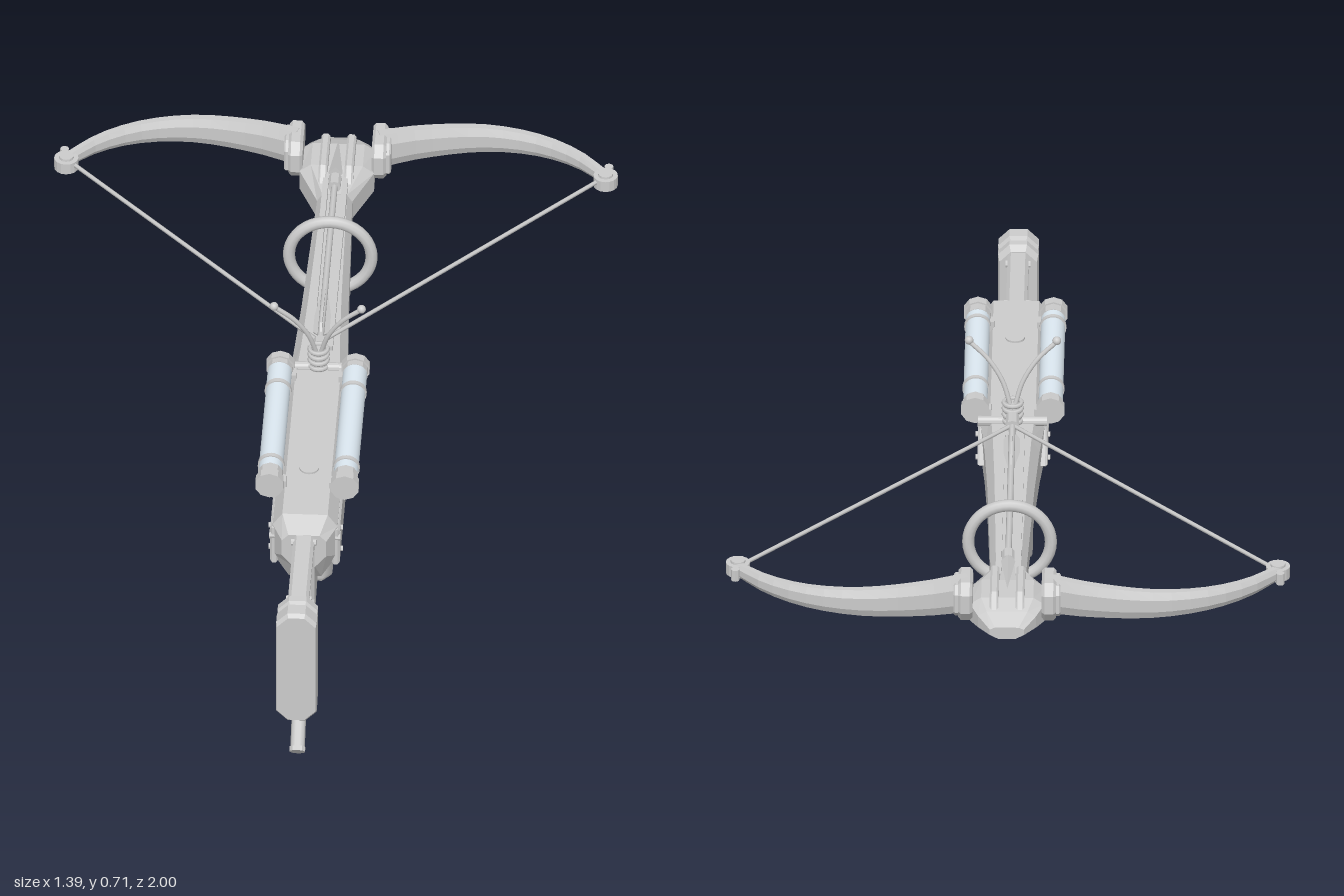
import * as THREE from 'three';
import { toCreasedNormals } from 'three/addons/utils/BufferGeometryUtils.js';

const V = (x, y, z) => new THREE.Vector3(x, y, z);

export function createModel() {
  const root = new THREE.Group();
  const flat = new THREE.MeshStandardMaterial({ color: 0xcccccc, flatShading: true });
  const smooth = new THREE.MeshStandardMaterial({ color: 0xcccccc });
  const thin = new THREE.MeshStandardMaterial({ color: 0xcccccc, side: THREE.DoubleSide });
  const glass = new THREE.MeshStandardMaterial({ color: 0xdde9f2 });

  const add = (name, geo, mat = flat, x = 0, y = 0, z = 0) => {
    const m = new THREE.Mesh(geo, mat);
    m.name = name;
    m.position.set(x, y, z);
    root.add(m);
    return m;
  };

  // Closed skin through matching rings of points, with end caps
  const loft = (rings) => {
    const p = [], n = rings[0].length;
    const tri = (...v) => v.forEach((q) => p.push(q.x, q.y, q.z));
    for (let j = 0; j < rings.length - 1; j++) {
      const a = rings[j], b = rings[j + 1];
      for (let i = 0; i < n; i++) {
        const k = (i + 1) % n;
        tri(a[i], b[i], a[k]);
        tri(a[k], b[i], b[k]);
      }
    }
    const f = rings[0], l = rings[rings.length - 1];
    for (let i = 1; i < n - 1; i++) {
      tri(f[0], f[i], f[i + 1]);
      tri(l[0], l[i + 1], l[i]);
    }
    const g = new THREE.BufferGeometry();
    g.setAttribute('position', new THREE.Float32BufferAttribute(p, 3));
    g.computeVertexNormals();
    return g;
  };

  // Eight-sided section: half width, bottom, top, narrowed floor and roof, corner heights
  const section = (z, w, bot, top, floor = 0.5, roof = 0.7, low = 0.35, high = 0.18) => {
    const h = top - bot, yl = bot + h * low, yh = top - h * high;
    return [[floor, bot], [1, yl], [1, yh], [roof, top], [-roof, top], [-1, yh], [-1, yl], [-floor, bot]]
      .map(([x, y]) => V(x * w, y, z));
  };

  // Side outline given as [z, y], extruded across x with chamfered edges
  const outline = (pts, C = THREE.Shape) => new C(pts.map(([z, y]) => new THREE.Vector2(z, y)));
  const sideCut = (pts, width, bevel = 0.008, hole = null) => {
    const s = outline(pts);
    if (hole) s.holes.push(outline(hole, THREE.Path));
    const depth = width - 2 * bevel;
    const g = new THREE.ExtrudeGeometry(s, {
      depth, bevelEnabled: bevel > 0, bevelSize: bevel, bevelThickness: bevel, bevelOffset: -bevel, bevelSegments: 1,
    });
    return g.translate(0, 0, -depth / 2).rotateY(-Math.PI / 2);
  };

  const tube = (pts, r, seg = 20, sides = 8) =>
    new THREE.TubeGeometry(new THREE.CatmullRomCurve3(pts.map((q) => V(...q))), seg, r, sides);
  const rodZ = (r, len, sides = 16) => new THREE.CylinderGeometry(r, r, len, sides).rotateX(Math.PI / 2);
  const rodX = (r, len, sides = 12) => new THREE.CylinderGeometry(r, r, len, sides).rotateZ(Math.PI / 2);

  // Main body, tapering forward
  add('body', loft([
    section(0.65, 0.055, 0.37, 0.465), section(0.6, 0.08, 0.305, 0.493), section(0.05, 0.08, 0.3, 0.493),
    section(-0.1, 0.068, 0.305, 0.493), section(-0.3, 0.058, 0.33, 0.492), section(-0.78, 0.042, 0.375, 0.488),
  ]));
  add('undersideRail', sideCut([[0.56, 0.3], [-0.1, 0.297], [-0.3, 0.318], [-0.74, 0.36], [-0.74, 0.38], [-0.1, 0.33], [0.56, 0.33]], 0.055));

  // Nose block with a slotted cover
  add('nose', loft([
    section(-0.73, 0.044, 0.38, 0.49), section(-0.83, 0.092, 0.39, 0.505), section(-0.92, 0.092, 0.405, 0.505),
    section(-0.96, 0.072, 0.42, 0.488), section(-1.0, 0.042, 0.433, 0.465),
  ]));

  // Shoulder stock with a window, and the butt
  add('stock', sideCut(
    [[0.91, 0.46], [0.6, 0.465], [0.6, 0.31], [0.26, 0.295], [0.26, 0.283], [0.84, 0.155], [0.91, 0.17]], 0.052, 0.008,
    [[0.85, 0.433], [0.87, 0.415], [0.87, 0.24], [0.845, 0.22], [0.68, 0.252], [0.66, 0.275], [0.66, 0.42], [0.68, 0.437]],
  ));
  const buttRing = ([z, d]) => {
    const w = 0.05 - d * 0.25, b = 0.15 + d, t = 0.477 - d, c = 0.028;
    return [[w - c, b], [w, b + c], [w, t - c], [w - c, t], [c - w, t], [-w, t - c], [-w, b + c], [c - w, b]].map(([x, y]) => V(x, y, z));
  };
  add('butt', loft([[1, 0.008], [0.99, 0], [0.955, 0], [0.95, 0.01], [0.94, 0.01], [0.935, 0.002], [0.915, 0.002], [0.9, 0.015]].map(buttRing)));

  // Bent hose below the butt, with its coil
  add('stockHose', tube([[0, 0.2, 0.82], [0, 0.14, 0.82], [0, 0.105, 0.85], [0, 0.06, 0.9], [0, 0.022, 0.945]], 0.018, 20, 10), smooth);
  const hoseEnd = add('hoseEnd', new THREE.CylinderGeometry(0.02, 0.02, 0.012, 10), flat, 0, 0.025, 0.942);
  hoseEnd.rotation.x = -0.85;
  for (let i = 0; i < 4; i++) {
    const c = add('hoseCoil', new THREE.TorusGeometry(0.024, 0.007, 6, 16), smooth, 0, 0.132 + i * 0.018, 0.825);
    c.rotation.x = Math.PI / 2 + 0.25;
  }

  // Grips: chamfered columns from bottom to top, leaning along z
  const column = (zb0, zb1, yb, zt0, zt1, yt, w) => {
    const ring = (z0, z1, y, k = 1) => {
      const m = (z0 + z1) / 2, d = (z1 - z0) / 2 * k, ww = w * k;
      return [[-0.5, 1], [-1, 0.6], [-1, -0.6], [-0.5, -1], [0.5, -1], [1, -0.6], [1, 0.6], [0.5, 1]].map(([a, b]) => V(a * ww, y, m + b * d));
    };
    return loft([ring(zb0, zb1, yb, 0.93), ring(zb0, zb1, yb + 0.01), ring(zt0, zt1, yt)]);
  };
  add('grip', toCreasedNormals(column(0.112, 0.25, 0.027, 0.05, 0.205, 0.32, 0.047), 0.95), smooth);
  add('gripButton', new THREE.CylinderGeometry(0.022, 0.022, 0.03, 12), flat, 0, 0.024, 0.18);
  add('foreGrip', column(-0.467, -0.377, 0.145, -0.49, -0.4, 0.36, 0.045));

  // Trigger and guard
  add('triggerGuard', tube([[0, 0.32, -0.11], [0, 0.26, -0.108], [0, 0.21, -0.075], [0, 0.187, -0.03], [0, 0.185, 0.04]], 0.012), smooth);
  add('guardEnd', rodZ(0.012, 0.006, 8), flat, 0, 0.185, 0.04);
  add('trigger', tube([[0, 0.31, 0], [0, 0.275, -0.012], [0, 0.235, 0.01]], 0.009, 10), smooth);
  add('triggerTip', new THREE.SphereGeometry(0.009, 8, 6), smooth, 0, 0.235, 0.01);

  // Ring sight around the barrel
  add('ringSight', new THREE.TorusGeometry(0.102, 0.015, 10, 40), smooth, 0, 0.448, -0.535);
  add('ringClamp', new THREE.BoxGeometry(0.1, 0.025, 0.035), flat, 0, 0.35, -0.535);

  // Top hatch and bolt
  add('hatch', new THREE.CylinderGeometry(0.024, 0.024, 0.012, 20), flat, 0, 0.492, 0.41);
  add('boltShaft', rodZ(0.008, 0.72, 8), smooth, 0, 0.52, -0.41);
  add('boltHead', new THREE.ConeGeometry(0.018, 0.14, 4).rotateX(-Math.PI / 2), flat, 0, 0.525, -0.84);
  add('boltCollar', rodZ(0.016, 0.04, 10), flat, 0, 0.52, -0.74);
  add('nock', rodZ(0.017, 0.05, 10), flat, 0, 0.52, -0.06);
  for (const a of [0, 2.1, -2.1]) {
    const f = add('fletching', sideCut([[-0.1, 0], [-0.13, 0.022], [-0.2, 0.022], [-0.31, 0.004], [-0.31, 0]], 0.005, 0), thin, 0, 0.52, 0);
    f.rotation.z = a;
  }

  // Antenna base with stacked rings
  add('antennaBase', new THREE.CylinderGeometry(0.018, 0.026, 0.06, 12), smooth, 0, 0.515, -0.012);
  for (let i = 0; i < 4; i++) {
    const c = add('antennaCoil', new THREE.TorusGeometry(0.022, 0.006, 6, 16), smooth, 0, 0.5 + i * 0.016, -0.012);
    c.rotation.x = Math.PI / 2;
  }
  add('crossPin', rodX(0.012, 0.17), flat, 0, 0.495, -0.01);

  // Everything mirrored left and right
  for (const s of [1, -1]) {
    add('sidePlate', sideCut([[0.61, 0.455], [0.02, 0.455], [-0.085, 0.41], [0.02, 0.35], [0.61, 0.35]], 0.02, 0.005), flat, s * 0.076, 0, 0);
    for (const [z, y] of [[0.57, 0.435], [0.57, 0.37], [0.03, 0.435], [0.03, 0.37]])
      add('screw', rodX(0.007, 0.008, 8), flat, s * 0.088, y, z);
    for (const [z, y] of [[0.5, 0.288], [0.88, 0.44], [0.66, 0.452], [0.87, 0.2]])
      add('stockScrew', rodX(0.009, 0.008, 8), flat, s * 0.027, y, z);

    // Gas canister with caps and bands
    const x = s * 0.093, y = 0.515;
    add('canister', rodZ(0.03, 0.48, 24), glass, x, y, 0.265);
    for (const [z, r, len] of [[0.503, 0.036, 0.026], [0.478, 0.032, 0.03], [0.016, 0.036, 0.022], [0.034, 0.032, 0.02]])
      add('canisterCap', rodZ(r, len, 10), flat, x, y, z);
    for (const z of [0.12, 0.43]) add('canisterBand', rodZ(0.033, 0.012, 24), smooth, x, y, z);
    for (const z of [0.035, 0.475]) add('canisterBracket', new THREE.BoxGeometry(0.035, 0.05, 0.03), flat, s * 0.07, 0.485, z);
    add('bodyKnob', rodX(0.012, 0.02, 8), flat, s * 0.078, 0.43, 0.6);

    add('guideRail', new THREE.BoxGeometry(0.014, 0.022, 0.72), flat, s * 0.024, 0.495, -0.44);
    add('noseCover', sideCut([[-0.75, 0.48], [-0.8, 0.528], [-0.93, 0.528], [-0.965, 0.475]], 0.022, 0.005), flat, s * 0.032, 0, 0);

    // Antenna
    add('antenna', tube([[s * 0.006, 0.54, -0.01], [s * 0.025, 0.6, 0.002], [s * 0.06, 0.655, 0.014], [s * 0.108, 0.7, 0.025]], 0.006), smooth);
    add('antennaTip', new THREE.SphereGeometry(0.011, 12, 8), smooth, s * 0.108, 0.702, 0.026);

    // Limb mount: block plus outer flange
    add('limbMount', sideCut([[-0.83, 0.48], [-0.83, 0.53], [-0.855, 0.555], [-0.94, 0.558], [-0.968, 0.535], [-0.968, 0.485], [-0.945, 0.455], [-0.85, 0.455]], 0.036, 0.007), flat, s * 0.103, 0, 0);
    add('mountFlange', sideCut([[-0.845, 0.475], [-0.845, 0.53], [-0.87, 0.548], [-0.935, 0.548], [-0.955, 0.53], [-0.955, 0.48], [-0.935, 0.462], [-0.86, 0.462]], 0.02, 0.004), flat, s * 0.122, 0, 0);

    // Curved limb, thinning toward the tip
    const arc = new THREE.CatmullRomCurve3([[0.1, -0.9], [0.2, -0.933], [0.36, -0.955], [0.49, -0.932], [0.59, -0.878], [0.668, -0.8]].map(([a, z]) => V(a, 0, z)));
    const rings = [];
    for (let i = 0; i <= 14; i++) {
      const u = i / 14, c = arc.getPointAt(u), t = arc.getTangentAt(u);
      const h = 0.05 - 0.033 * u, d = 0.021 - 0.008 * u, cy = 0.508 + 0.008 * u;
      const r = [[0.5, -1], [1, -0.45], [1, 0.45], [0.5, 1], [-0.5, 1], [-1, 0.45], [-1, -0.45], [-0.5, -1]]
        .map(([a, b]) => V(s * (c.x - t.z * a * d), cy + b * h, c.z + t.x * a * d));
      rings.push(s > 0 ? r : r.reverse());
    }
    add('limb', loft(rings));

    // Limb tip pulley and string
    add('tipPulley', new THREE.CylinderGeometry(0.03, 0.03, 0.03, 16), flat, s * 0.666, 0.515, -0.793);
    add('tipCap', new THREE.CylinderGeometry(0.018, 0.022, 0.042, 12), flat, s * 0.666, 0.515, -0.793);
    add('tipStud', new THREE.CylinderGeometry(0.011, 0.011, 0.03, 8), flat, s * 0.672, 0.515, -0.83);
    const a = V(s * 0.652, 0.52, -0.785), b = V(s * 0.008, 0.52, -0.085);
    add('string', new THREE.TubeGeometry(new THREE.LineCurve3(a, b), 1, 0.0055, 6), smooth);
  }
  return root;
}
